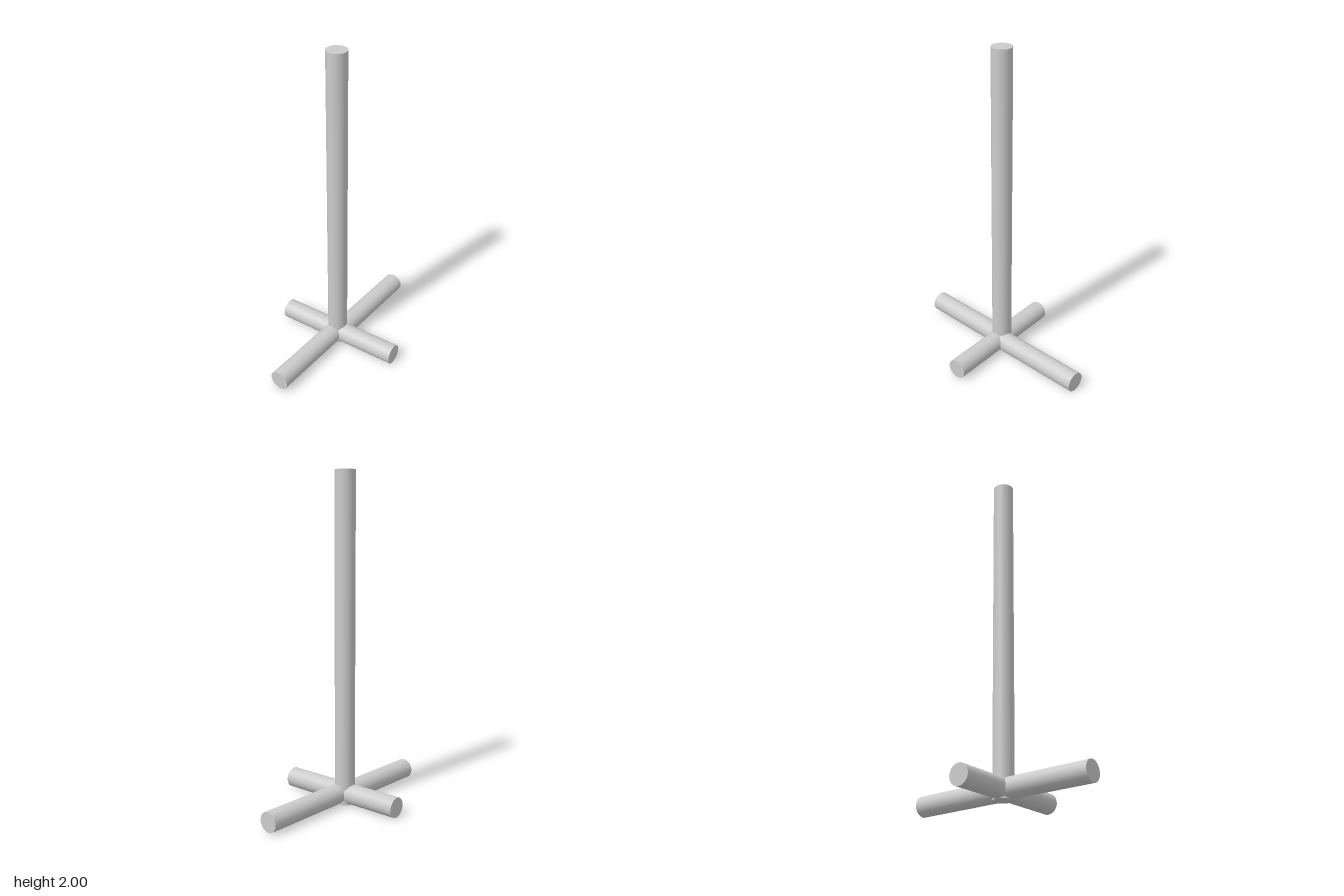
import * as THREE from 'three';

const RADIUS = 0.061;
const material = new THREE.MeshStandardMaterial({ color: 0xcccccc });

// Capped round bar running between two points
function bar(name, from, to) {
  const a = new THREE.Vector3(...from);
  const b = new THREE.Vector3(...to);
  const dir = b.clone().sub(a);
  const mesh = new THREE.Mesh(new THREE.CylinderGeometry(RADIUS, RADIUS, dir.length(), 48), material);
  mesh.name = name;
  mesh.position.copy(a).add(b).multiplyScalar(0.5);
  mesh.quaternion.setFromUnitVectors(new THREE.Vector3(0, 1, 0), dir.normalize());
  return mesh;
}

export function createModel() {
  const group = new THREE.Group();
  group.name = 'postStand';

  // Upright post
  group.add(bar('post', [-0.02, 0, 0.019], [-0.02, 2, 0.019]));

  // Crossbar, turned slightly off the x axis
  group.add(bar('crossbar', [-0.404, RADIUS, 0.043], [0.403, RADIUS, 0]));

  // Front and back feet, slightly offset from each other
  group.add(bar('frontFoot', [-0.025, RADIUS, 0.02], [-0.025, RADIUS, 0.602]));
  group.add(bar('backFoot', [-0.002, RADIUS, 0.02], [-0.002, RADIUS, -0.604]));

  return group;
}
